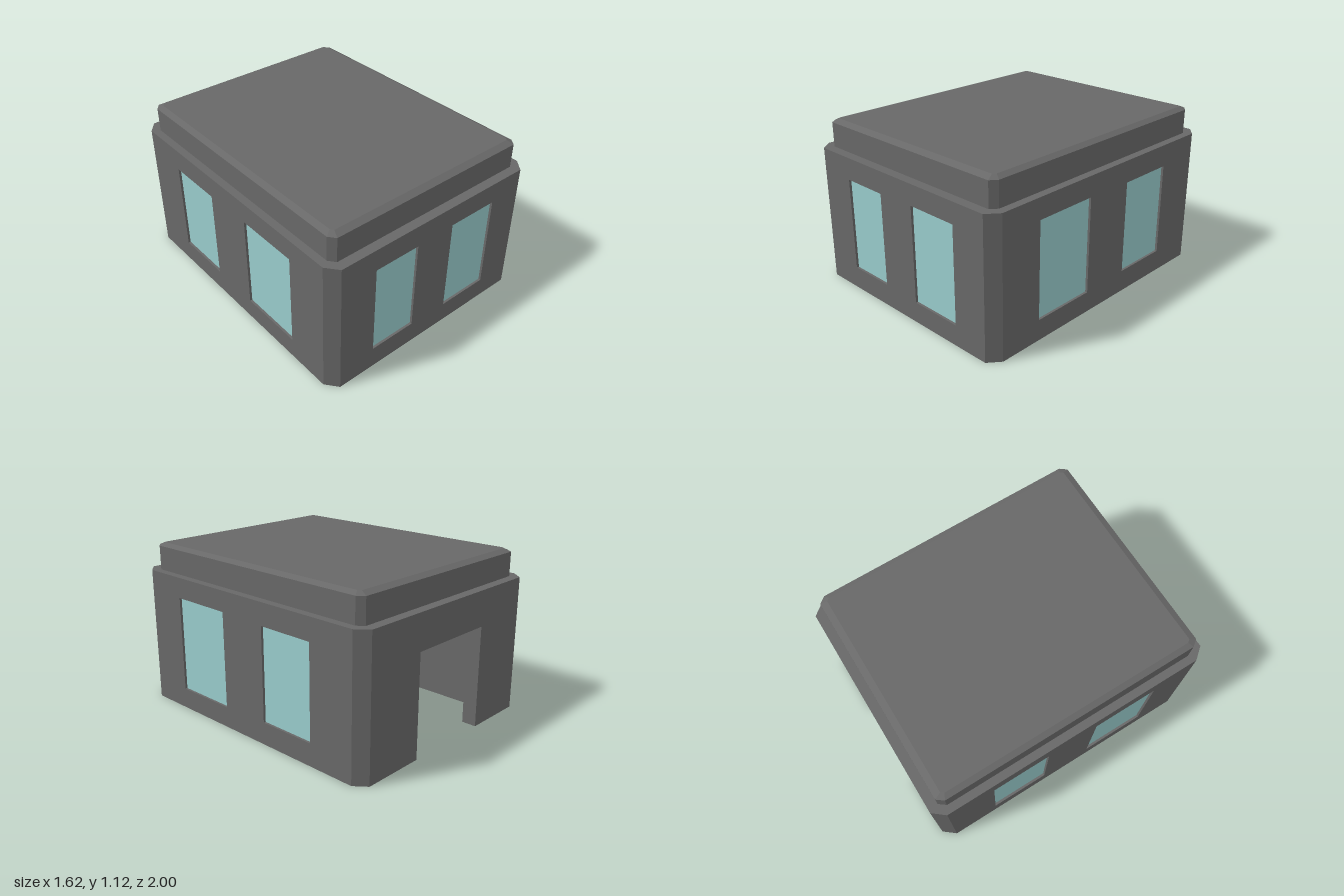
import * as THREE from 'three';
import { ConvexGeometry } from 'three/addons/geometries/ConvexGeometry.js';

const RECESS = 0.02;      // depth of the window niches
const WALL_TOP = 0.93;
const DOOR_TOP = 0.69;
const CEILING = 0.74;

const toPoints = (list) => list.map(([x, y]) => new THREE.Vector2(x, y));

function rectPath(x0, y0, x1, y1) {
  return new THREE.Path(toPoints([[x0, y0], [x1, y0], [x1, y1], [x0, y1]]));
}

// Chamfered rectangle in plan
function octagon(w, d, cx, cz) {
  return [[w, -d + cz], [w, d - cz], [w - cx, d], [-w + cx, d],
    [-w, d - cz], [-w, -d + cz], [-w + cx, -d], [w - cx, -d]];
}

export function createModel() {
  const group = new THREE.Group();
  const concrete = new THREE.MeshStandardMaterial({ color: 0x686868 });
  concrete.name = 'grey concrete';
  const glass = new THREE.MeshStandardMaterial({ color: 0x99cccc });
  glass.name = 'pale blue glass';

  function add(parent, name, geometry, material) {
    const mesh = new THREE.Mesh(geometry, material);
    mesh.name = name;
    parent.add(mesh);
    return mesh;
  }

  // Raises a plan outline (x, -z) from y0 to y1
  function raise(name, outline, y0, y1, hole) {
    const shape = new THREE.Shape(toPoints(outline));
    if (hole) shape.holes.push(hole);
    const geometry = new THREE.ExtrudeGeometry(shape, { depth: y1 - y0, bevelEnabled: false });
    geometry.rotateX(-Math.PI / 2).translate(0, y0, 0);
    add(group, name, geometry, concrete);
  }

  // Plan of the wall core; the front and sides step back behind the facades
  const right = [[0.745, 1], [0.81, 0.92], [0.81 - RECESS, 0.92],
    [0.81 - RECESS, -0.92], [0.81, -0.92], [0.745, -1]]; // back to front
  const mirror = (pts) => pts.map(([x, y]) => [-x, y]).reverse();
  const front = [[0.745, -1 + RECESS], [-0.745, -1 + RECESS]];
  const outer = [...right, ...front, ...mirror(right)];
  const halfDoor = [[0.315, 0.9], [0.315, 1]];
  const inX = 0.585, inFront = -0.88, inBack = 0.9;

  // Lower walls open at the doorway, lintel, then solid ceiling slab
  raise('lowerWalls', [
    ...halfDoor, ...outer, ...mirror(halfDoor),
    [-inX, inBack], [-inX, inFront], [inX, inFront], [inX, inBack],
  ], 0, DOOR_TOP);
  raise('lintelRing', outer, DOOR_TOP, CEILING, rectPath(-inX, inFront, inX, inBack));
  raise('ceilingSlab', outer, CEILING, WALL_TOP);

  // Facade layer with window openings and glass set into them
  function facade(name, halfWidth, distance, angle, windows) {
    const side = new THREE.Group();
    side.name = name;
    const shape = new THREE.Shape(toPoints(
      [[-halfWidth, 0], [halfWidth, 0], [halfWidth, WALL_TOP], [-halfWidth, WALL_TOP]]));
    for (const [x0, y0, x1, y1] of windows) {
      shape.holes.push(rectPath(x0, y0, x1, y1));
      const pane = add(side, 'windowPane', new THREE.BoxGeometry(x1 - x0, y1 - y0, 0.004), glass);
      pane.position.set((x0 + x1) / 2, (y0 + y1) / 2, distance - RECESS + 0.002);
    }
    const geometry = new THREE.ExtrudeGeometry(shape, { depth: RECESS, bevelEnabled: false });
    add(side, 'facadeWall', geometry.translate(0, 0, distance - RECESS), concrete);
    side.rotation.y = angle;
    group.add(side);
  }

  facade('frontFacade', 0.745, 1, 0, [[-0.485, 0.15, -0.155, 0.78], [0.135, 0.14, 0.5, 0.79]]);
  for (const s of [1, -1]) {
    const windows = [[-0.62, 0.14, -0.17, 0.79], [0.19, 0.15, 0.595, 0.78]]
      .map(([x0, y0, x1, y1]) => (s > 0 ? [x0, y0, x1, y1] : [-x1, y0, -x0, y1]));
    facade(s > 0 ? 'leftFacade' : 'rightFacade', 0.92, 0.81, s * Math.PI / 2, windows);
  }

  // Raised roof with chamfered corners and a bevelled top edge
  const level = (plan, y) => plan.map(([x, z]) => new THREE.Vector3(x, y, z));
  const roofPlan = octagon(0.757, 0.935, 0.035, 0.045);
  add(group, 'roof', new ConvexGeometry([
    ...level(roofPlan, WALL_TOP),
    ...level(roofPlan, 1.095),
    ...level(octagon(0.72, 0.89, 0.015, 0.02), 1.115),
  ]), concrete);

  return group;
}
